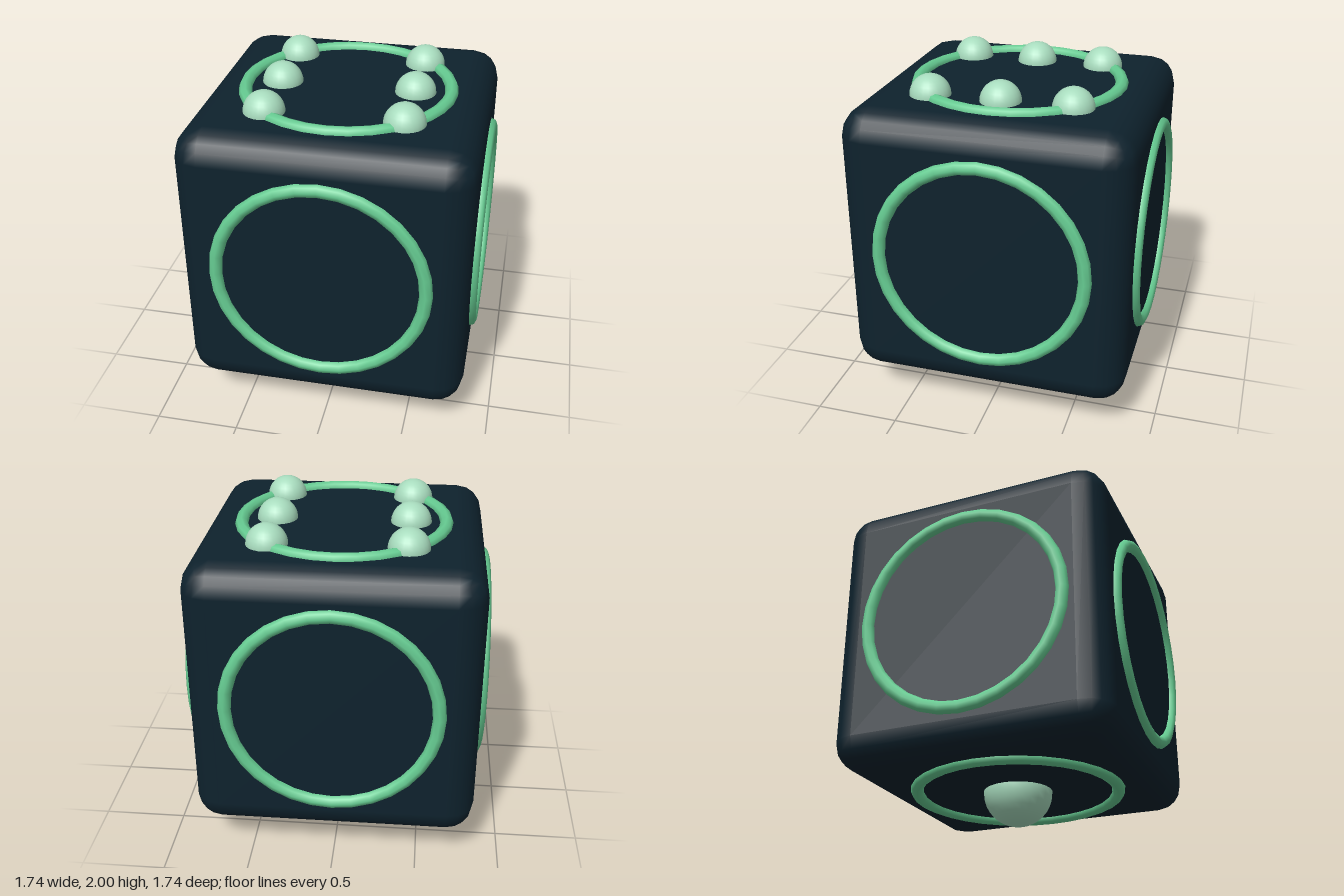
import * as THREE from 'three';
import { RoundedBoxGeometry } from 'three/addons/geometries/RoundedBoxGeometry.js';

const SIZE = 1.67, HALF = SIZE / 2, CENTRE_Y = 1.045;

function material(name, color) {
  const m = new THREE.MeshStandardMaterial({ color });
  m.name = name;
  return m;
}

export function createModel() {
  const model = new THREE.Group();
  model.name = 'die';
  const navy = material('dark navy', 0x0e222d);
  const green = material('ring green', 0x66cc92);
  const pale = material('pale green', 0xa8dcbe);

  const add = (name, geometry, mat, x, y, z) => {
    const mesh = new THREE.Mesh(geometry, mat);
    mesh.name = name;
    mesh.position.set(x, y, z);
    model.add(mesh);
    return mesh;
  };

  // Cube with rounded edges
  add('body', new RoundedBoxGeometry(SIZE, SIZE, SIZE, 2, 0.165), navy, 0, CENTRE_Y, 0);

  // One half-sunk ring on each face
  const ringGeometry = new THREE.TorusGeometry(0.604, 0.04, 8, 32);
  const faces = {
    front: [0, 0, 1], back: [0, 0, -1],
    left: [1, 0, 0], right: [-1, 0, 0],
    top: [0, 1, 0], bottom: [0, -1, 0],
  };
  for (const [face, [x, y, z]] of Object.entries(faces)) {
    const d = HALF - 0.003;
    const ring = add(face + 'Ring', ringGeometry, green, x * d, CENTRE_Y + y * d, z * d);
    ring.rotation.set(y * Math.PI / 2, x * Math.PI / 2, 0);
  }

  // Six small pips on top
  const pipGeometry = new THREE.SphereGeometry(0.12, 24, 16);
  for (const x of [-0.396, 0.396])
    for (const z of [-0.418, 0, 0.418])
      add('topPip', pipGeometry, pale, x, CENTRE_Y + HALF, z);

  // Single large pip underneath
  add('bottomPip', new THREE.SphereGeometry(0.207, 24, 16), pale, 0, 0.207, 0);

  return model;
}
